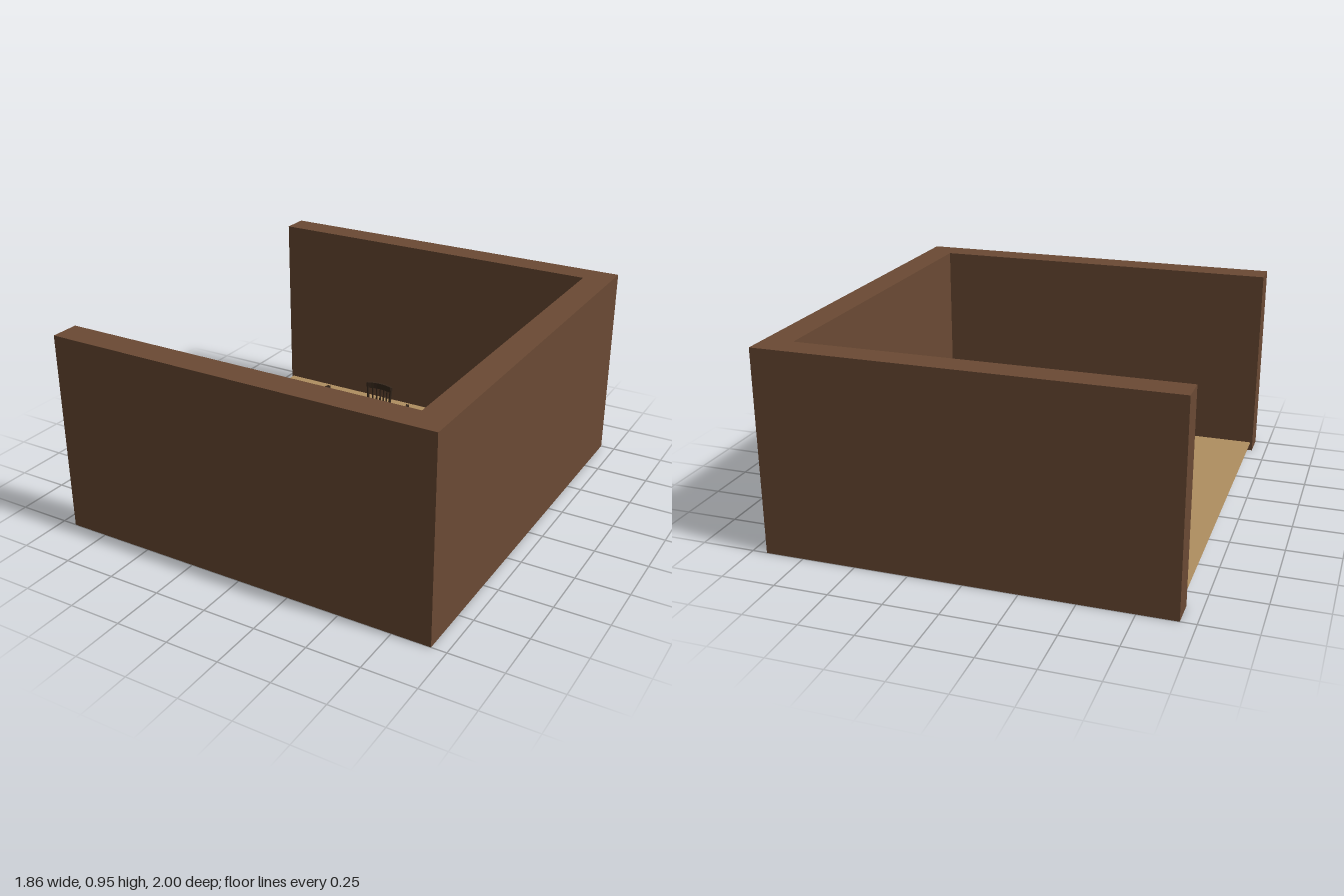
import * as THREE from 'three';

const material = (name, color, side = THREE.FrontSide) => {
  const m = new THREE.MeshStandardMaterial({ color, side });
  m.name = name;
  return m;
};

const FLOOR = 0.045;

export function createModel() {
  const wallBrown = material('wall brown', 0x6b4a34);
  const floorTan = material('floor tan', 0xb08f60, THREE.DoubleSide);
  const wood = material('warm wood', 0xa67540);
  const darkWood = material('dark wood', 0x36271b);
  const cream = material('rug cream', 0xc8bea2);
  const gold = material('rug gold', 0xb5a566);

  const add = (parent, name, geometry, mat) => {
    const mesh = new THREE.Mesh(geometry, mat);
    mesh.name = name;
    parent.add(mesh);
    return mesh;
  };
  // Extrudes a plan drawn in x and z between two heights
  const slab = (shape, y0, y1) =>
    new THREE.ExtrudeGeometry(shape, { depth: y1 - y0, bevelEnabled: false, curveSegments: 8 })
      .rotateX(Math.PI / 2).translate(0, y1, 0);
  const rect = (x0, z0, x1, z1) => new THREE.Shape(
    [[x0, z0], [x1, z0], [x1, z1], [x0, z1]].map(p => new THREE.Vector2(...p)));
  // Straight round bar between two points
  const bar = (parent, name, a, b, r0, r1 = r0, mat = darkWood) => {
    const from = new THREE.Vector3(...a), to = new THREE.Vector3(...b);
    const dir = to.clone().sub(from);
    const mesh = add(parent, name, new THREE.CylinderGeometry(r1, r0, dir.length(), 8), mat);
    mesh.position.copy(from).add(to).multiplyScalar(0.5);
    mesh.quaternion.setFromUnitVectors(new THREE.Vector3(0, 1, 0), dir.normalize());
  };

  const room = new THREE.Group();
  room.name = 'diningRoom';

  // Three walls, open towards -x
  const plan = new THREE.Shape([[-0.93, -1], [0.93, -1], [0.93, 1], [-0.93, 1],
    [-0.93, 0.865], [0.795, 0.865], [0.795, -0.87], [-0.93, -0.87]].map(p => new THREE.Vector2(...p)));
  add(room, 'walls', slab(plan, 0, 0.955), wallBrown);

  // Thin floor raised above the foot of the walls
  add(room, 'floor', new THREE.PlaneGeometry(1.715, 1.735).rotateX(-Math.PI / 2), floorTan)
    .position.set(-0.0625, FLOOR, -0.0025);

  // Rug, with border and motifs showing on both faces
  const rug = new THREE.Group();
  rug.name = 'rug';
  room.add(rug);
  add(rug, 'rugField', slab(rect(-0.39, -0.515, 0.322, 0.47), FLOOR - 0.003, FLOOR + 0.005), cream);
  const border = rect(-0.378, -0.512, 0.316, 0.455);
  const [l, r, t, b, c] = [-0.342, 0.282, -0.468, 0.425, 0.025];
  const hole = new THREE.Path();
  hole.moveTo(l + c, t).lineTo(r - c, t).quadraticCurveTo(r, t, r, t + c)
    .lineTo(r, b - c).quadraticCurveTo(r, b, r - c, b)
    .lineTo(l + c, b).quadraticCurveTo(l, b, l, b - c)
    .lineTo(l, t + c).quadraticCurveTo(l, t, l + c, t);
  border.holes.push(hole);
  add(rug, 'rugBorder', slab(border, FLOOR - 0.004, FLOOR + 0.006), gold);
  for (const x of [-0.24, 0.175]) for (const z of [-0.37, 0.335]) {
    const flower = new THREE.Shape();
    for (let i = 0; i <= 32; i++) {
      const a = i / 32 * Math.PI * 2, rad = 0.031 + 0.007 * Math.cos(8 * a);
      flower[i ? 'lineTo' : 'moveTo'](x + rad * Math.cos(a), z + rad * Math.sin(a));
    }
    add(rug, 'rugFlower', slab(flower, FLOOR - 0.004, FLOOR + 0.006), gold);
  }

  // Table
  const table = new THREE.Group();
  table.name = 'table';
  table.position.set(-0.04, 0, -0.028);
  room.add(table);
  add(table, 'tableTop', new THREE.BoxGeometry(0.39, 0.02, 0.566), wood).position.y = 0.3;
  for (const s of [-1, 1]) {
    add(table, 'apron', new THREE.BoxGeometry(0.014, 0.03, 0.47), wood).position.set(s * 0.165, 0.276, 0);
    add(table, 'apron', new THREE.BoxGeometry(0.32, 0.03, 0.014), wood).position.set(0, 0.276, s * 0.25);
    for (const e of [-1, 1])
      add(table, 'tableLeg', new THREE.BoxGeometry(0.03, 0.245, 0.03), wood)
        .position.set(s * 0.165, 0.1675, e * 0.25);
  }

  // Chair facing +z, with the origin under the middle of its back
  const createChair = () => {
    const chair = new THREE.Group();
    chair.name = 'chair';
    const seat = new THREE.Shape();
    seat.moveTo(-0.054, 0.012).lineTo(0.054, 0.012).quadraticCurveTo(0.066, 0.07, 0.06, 0.135)
      .quadraticCurveTo(0, 0.148, -0.06, 0.135).quadraticCurveTo(-0.066, 0.07, -0.054, 0.012);
    add(chair, 'seat', slab(seat, 0.205, 0.22), wood);
    // Bowed rails across the back
    const rail = (name, w, z, y0, y1, depth) => {
      const s = new THREE.Shape();
      s.moveTo(-w, z).quadraticCurveTo(0, z - 0.026, w, z)
        .lineTo(w, z + depth).quadraticCurveTo(0, z + depth - 0.026, -w, z + depth);
      add(chair, name, slab(s, y0, y1), darkWood);
    };
    rail('topRail', 0.066, 0, 0.365, 0.395, 0.013);
    rail('lowerRail', 0.056, 0.014, 0.235, 0.247, 0.01);
    for (let i = -2; i <= 2; i++) {
      const bow = 0.013 * (1 - i * i / 9);
      bar(chair, 'backSpindle', [i * 0.018, 0.238, 0.019 - bow], [i * 0.021, 0.37, 0.006 - bow], 0.0045);
    }
    for (const s of [-1, 1]) {
      bar(chair, 'backPost', [s * 0.054, 0.2, 0.02], [s * 0.068, 0.392, 0.005], 0.008, 0.007);
      bar(chair, 'rearLeg', [s * 0.058, FLOOR, 0.008], [s * 0.054, 0.21, 0.02], 0.006, 0.008);
      bar(chair, 'frontLeg', [s * 0.054, FLOOR, 0.125], [s * 0.052, 0.207, 0.12], 0.006, 0.008);
      bar(chair, 'sideStretcher', [s * 0.056, 0.11, 0.013], [s * 0.053, 0.11, 0.123], 0.004);
    }
    bar(chair, 'frontStretcher', [-0.053, 0.135, 0.122], [0.053, 0.135, 0.122], 0.004);
    bar(chair, 'rearStretcher', [-0.056, 0.135, 0.014], [0.056, 0.135, 0.014], 0.004);
    return chair;
  };

  // Chairs around the table: x, z, turn (one is pulled out at an angle)
  for (const [x, z, turn] of [
    [-0.05, -0.345, 0], [-0.04, 0.318, Math.PI], [-0.272, -0.135, Math.PI / 2],
    [0.19, -0.135, -Math.PI / 2], [0.19, 0.065, -Math.PI / 2], [-0.307, 0.036, 0.52]]) {
    const chair = createChair();
    chair.position.set(x, 0, z);
    chair.rotation.y = turn;
    room.add(chair);
  }
  return room;
}
